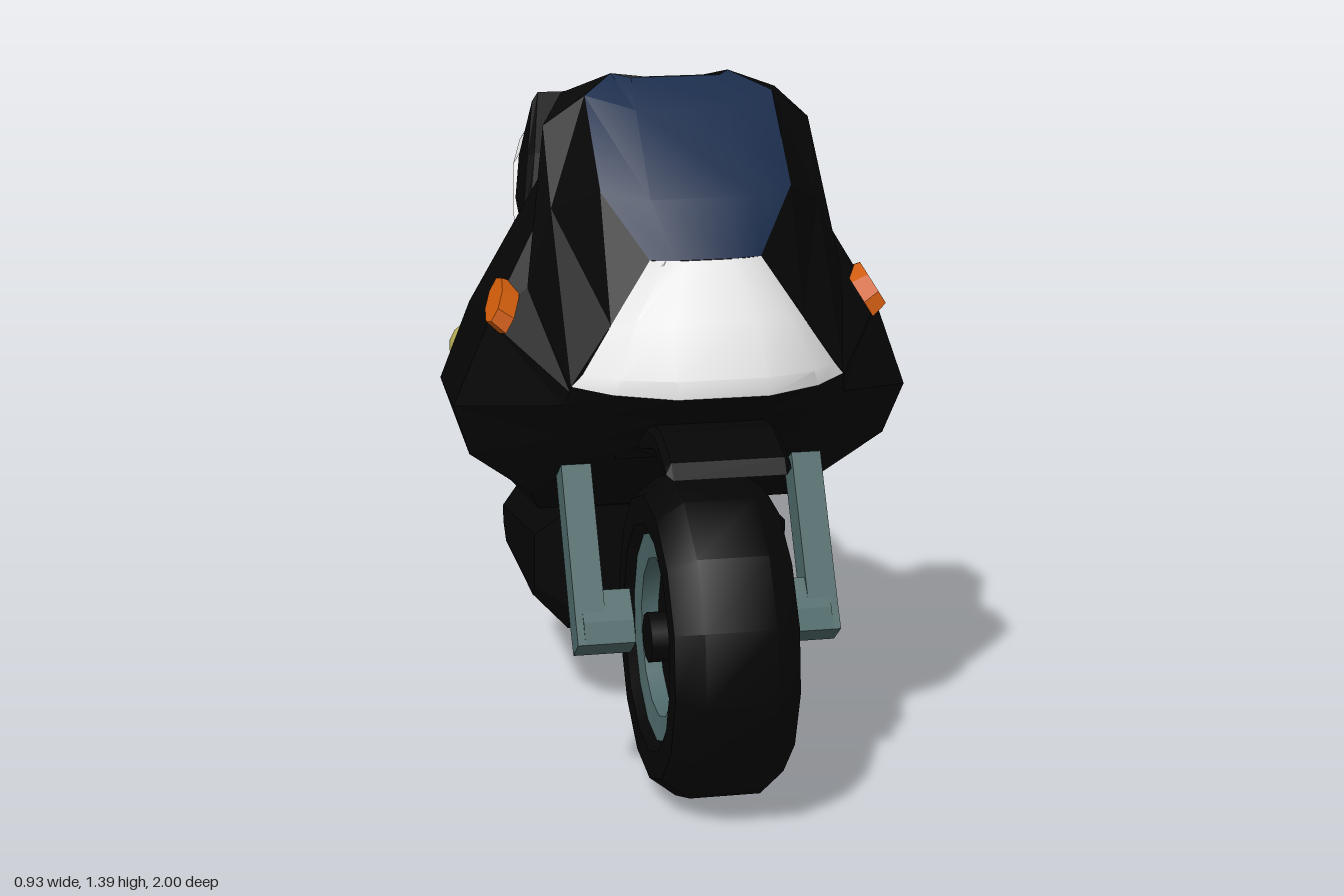
import * as THREE from 'three';
import { toCreasedNormals } from 'three/addons/utils/BufferGeometryUtils.js';

const paint = (name, color) =>
  Object.assign(new THREE.MeshStandardMaterial({ color, side: THREE.DoubleSide }), { name });

export function createModel() {
  const black = paint('black', 0x050505), white = paint('white', 0xe6e6e6);
  const darkGrey = paint('dark grey', 0x3c3c3c), grey = paint('grey', 0x707070);
  const blue = paint('screen blue', 0x1c2e4d), teal = paint('teal', 0x4e696a);
  const yellow = paint('yellow', 0xb4aa55), orange = paint('orange', 0xcc5a0a);

  const model = new THREE.Group();
  model.name = 'motorcycle';

  const add = (name, geo, mat, parent = model) => {
    const m = new THREE.Mesh(geo, mat);
    m.name = name;
    parent.add(m);
    return m;
  };
  // Adds a group and its mirror image
  const pair = (name, build) => {
    const g = new THREE.Group();
    g.name = name + 'Left';
    build(g);
    const r = g.clone();
    r.name = name + 'Right';
    r.scale.x = -1;
    model.add(g, r);
  };
  // Surface through rows of equally many points
  const skin = (rows, crease = 0.01) => {
    const n = rows[0].length, idx = [];
    for (let i = 0; i < rows.length - 1; i++) {
      for (let j = 0; j < n - 1; j++) {
        const a = i * n + j, b = a + n;
        idx.push(a, b, a + 1, a + 1, b, b + 1);
      }
    }
    const geo = new THREE.BufferGeometry();
    geo.setAttribute('position', new THREE.Float32BufferAttribute(rows.flat(2), 3));
    geo.setIndex(idx);
    return toCreasedNormals(geo, crease);
  };
  // Completes a half row (centre outwards) with its mirror image
  const sym = (row) => [
    ...row.filter((p) => p[0] > 0).reverse().map(([x, y, z]) => [-x, y, z]), ...row];
  // Side outline in (z, y) extruded across x
  const slab = (pts, half, bevel = 0, x = 0) => {
    const shape = new THREE.Shape(pts.map((p) => new THREE.Vector2(...p)));
    const geo = new THREE.ExtrudeGeometry(shape, {
      depth: 2 * (half - bevel), bevelEnabled: bevel > 0, bevelThickness: bevel,
      bevelSize: bevel, bevelOffset: -bevel, bevelSegments: 1 });
    return geo.translate(0, 0, bevel - half).rotateY(-Math.PI / 2).translate(x, 0, 0);
  };
  const lathe = (pts, n, crease = 0.7) =>
    toCreasedNormals(new THREE.LatheGeometry(pts.map((p) => new THREE.Vector2(...p)), n), crease);

  // Wheels
  for (const [name, z] of [['frontWheel', 0.678], ['rearWheel', -0.678]]) {
    const w = new THREE.Group();
    w.name = name;
    w.position.set(0, 0.325, z);
    w.rotation.set(0.11, 0, Math.PI / 2);
    add('tyre', lathe([[0.2, -0.095], [0.23, -0.122], [0.285, -0.122], [0.325, -0.07],
      [0.325, 0.07], [0.285, 0.122], [0.23, 0.122], [0.2, 0.095]], 14), black, w);
    add('rim', lathe([[0.16, -0.06], [0.16, -0.1], [0.21, -0.105], [0.21, 0.105],
      [0.16, 0.1], [0.16, 0.06]], 14), teal, w);
    add('hub', new THREE.CylinderGeometry(0.165, 0.165, 0.13, 14), black, w);
    add('axle', new THREE.CylinderGeometry(0.05, 0.05, 0.24, 10), black, w);
    model.add(w);
  }

  // Side fairing, rows from the screen edge down, points from front to back
  const fairing = [
    [[0.11, 1.08, 0.65], [0.19, 1.2, 0.56], [0.19, 1.36, 0.39], [0.12, 1.388, 0.3]],
    [[0.19, 0.96, 0.67], [0.27, 1.15, 0.46], [0.27, 1.3, 0.37], [0.22, 1.35, 0.29]],
    [[0.27, 0.845, 0.68], [0.32, 0.995, 0.47], [0.28, 1.13, 0.4], [0.265, 1.205, 0.34]],
    [[0.27, 0.83, 0.67], [0.395, 0.93, 0.46], [0.405, 0.92, 0.25], [0.28, 1.1, 0.24]],
    [[0.28, 0.8, 0.65], [0.465, 0.75, 0.43], [0.46, 0.75, 0.2], [0.335, 0.74, -0.05]],
    [[0.27, 0.72, 0.6], [0.43, 0.64, 0.4], [0.41, 0.62, 0.16], [0.28, 0.57, -0.12]],
    [[0.22, 0.66, 0.55], [0.3, 0.54, 0.36], [0.27, 0.48, 0.28], [0.26, 0.53, -0.02]],
  ];
  pair('fairing', (g) => add('sidePanel', skin(fairing), black, g));

  // Nose, fairing underside and windscreen
  add('nose', skin([
    [[0.04, 1.08, 0.665], [0.08, 1.08, 0.66], [0.11, 1.08, 0.65]],
    [[0.08, 0.98, 0.745], [0.15, 0.97, 0.71], [0.19, 0.96, 0.67]],
    [[0.09, 0.88, 0.815], [0.19, 0.875, 0.765], [0.25, 0.87, 0.69]],
    [[0.09, 0.845, 0.818], [0.2, 0.845, 0.76], [0.27, 0.845, 0.68]],
  ].map(sym), 0.6), white);
  add('fairingUnderside', skin([
    [[0.09, 0.845, 0.818], [0.2, 0.845, 0.76], [0.27, 0.845, 0.68]],
    [[0.09, 0.78, 0.72], [0.2, 0.79, 0.7], [0.28, 0.8, 0.65]],
    [[0.09, 0.71, 0.61], [0.2, 0.715, 0.61], [0.27, 0.72, 0.6]],
    [[0.09, 0.66, 0.55], [0.2, 0.66, 0.55], [0.22, 0.66, 0.55]],
    [[0.09, 0.54, 0.36], [0.2, 0.54, 0.36], [0.3, 0.54, 0.36]],
    [[0.09, 0.48, 0.28], [0.2, 0.48, 0.28], [0.27, 0.48, 0.28]],
  ].map(sym)), black);
  add('windscreen', skin([
    [[0.06, 1.08, 0.662], [0.11, 1.08, 0.65]],
    [[0.1, 1.19, 0.61], [0.19, 1.2, 0.56]],
    [[0.1, 1.34, 0.46], [0.19, 1.36, 0.39]],
    [[0.09, 1.388, 0.36], [0.12, 1.388, 0.3]],
  ].map(sym), 0.6), blue);

  // Cockpit behind the screen
  add('screenBack', skin([
    [[0.06, 1.386, 0.34], [0.12, 1.388, 0.3]],
    [[0.1, 1.33, 0.36], [0.22, 1.35, 0.29]],
    [[0.12, 1.2, 0.38], [0.265, 1.205, 0.34]],
  ].map(sym)), black);
  add('dash', skin([
    [[0.12, 1.2, 0.38], [0.265, 1.205, 0.34]],
    [[0.16, 1.06, 0.25], [0.28, 1.09, 0.235]],
  ].map(sym)), darkGrey);

  // Tank and body sides: z, then half profile from the top centre down
  const tank = [
    [0.28, [0, 1.1], [0.1, 1.08], [0.17, 1.0], [0.2, 0.75], [0.2, 0.6]],
    [0.21, [0, 1.125], [0.15, 1.1], [0.25, 1.0], [0.27, 0.8], [0.26, 0.6]],
    [0.1, [0, 1.1], [0.17, 1.07], [0.265, 0.96], [0.28, 0.78], [0.26, 0.6]],
    [-0.02, [0, 1.055], [0.17, 1.03], [0.27, 0.9], [0.28, 0.74], [0.26, 0.59]],
    [-0.13, [0, 0.95], [0.17, 0.935], [0.26, 0.82], [0.265, 0.7], [0.24, 0.57]],
    [-0.26, [0, 0.81], [0.16, 0.81], [0.2, 0.77], [0.215, 0.68], [0.19, 0.57]],
    [-0.36, [0, 0.78], [0.15, 0.78], [0.185, 0.74], [0.195, 0.68], [0.17, 0.61]],
  ];
  const section = ([z, ...pts]) => sym(pts.map(([x, y]) => [x, y, z]));
  add('tank', skin(tank.map(section), 0.8), white);

  // Tail: z, top, bottom, half width
  const tail = [
    [-0.28, 0.75, 0.57, 0.2], [-0.36, 0.79, 0.61, 0.195], [-0.47, 0.89, 0.71, 0.19],
    [-0.6, 0.99, 0.835, 0.18], [-0.67, 1.115, 0.885, 0.168], [-0.78, 1.125, 0.96, 0.135],
    [-0.85, 1.12, 1.01, 0.105], [-0.882, 1.085, 1.04, 0.06]];
  add('tail', skin(tail.map(([z, t, b, w]) => section(
    [z, [0, t], [w * 0.65, t], [w, t * 0.6 + b * 0.4], [w * 0.85, b], [0, b]])), 0.6), white);
  add('tailEnd', skin([[[0.039, 1.085, -0.882], [0.06, 1.067, -0.882]],
    [[0.03, 1.04, -0.882], [0.051, 1.04, -0.882]]].map(sym)), white);
  add('tailInset', skin(tail.slice(0, -1).map(([z, , b, w]) =>
    sym([[0, b - 0.005, z], [w * 0.62, b - 0.005, z]]))), black);

  // Seat, its raised back narrowing upwards
  const seat = slab([[-0.13, 0.945], [-0.45, 0.93], [-0.54, 1.07], [-0.66, 1.19],
    [-0.665, 1.04], [-0.58, 0.95], [-0.42, 0.86], [-0.35, 0.8], [-0.26, 0.815]], 0.182, 0.015);
  const pos = seat.attributes.position;
  for (let i = 0; i < pos.count; i++) {
    pos.setX(i, pos.getX(i) * (1 - 1.4 * Math.max(0, pos.getY(i) - 0.95)));
  }
  seat.computeVertexNormals();
  add('seat', seat, black);

  // Inner frame, belly and white wedges
  add('frame', slab([[0.34, 1.02], [0.36, 0.62], [0.27, 0.48], [-0.28, 0.42],
    [-0.29, 0.57], [0.0, 0.9]], 0.18), black);
  add('steeringHead', slab([[0.62, 0.82], [0.56, 0.66], [0.34, 0.66], [0.34, 0.9]], 0.16), black);
  add('belly', slab([[0.285, 0.48], [0.29, 0.26], [0.22, 0.193], [-0.2, 0.198],
    [-0.28, 0.27], [-0.285, 0.4]], 0.27, 0.07), black);
  pair('bellyWedge', (g) => add('wedge', slab([[0.27, 0.485], [-0.12, 0.57], [-0.29, 0.575],
    [-0.285, 0.385]], 0.02, 0, 0.215), white, g));

  // Mudguards
  add('frontMudguard', slab([[0.88, 0.705], [0.86, 0.735], [0.76, 0.768], [0.66, 0.76],
    [0.5, 0.71], [0.5, 0.66], [0.64, 0.69], [0.75, 0.72]], 0.122, 0.012), black);
  add('rearMudguard', slab([[-0.28, 0.66], [-0.42, 0.75], [-0.58, 0.805], [-0.72, 0.795],
    [-0.87, 0.755], [-0.885, 0.72], [-0.74, 0.705], [-0.6, 0.72], [-0.42, 0.67], [-0.3, 0.6]],
    0.12, 0.015), black);

  // Fork legs and swing arm
  pair('fork', (g) => {
    add('forkLeg', slab([[0.53, 0.645], [0.47, 0.605], [0.62, 0.345], [0.66, 0.29],
      [0.715, 0.33], [0.69, 0.37]], 0.03, 0, 0.235), teal, g);
    add('forkFoot', slab([[0.65, 0.42], [0.605, 0.37], [0.66, 0.29], [0.715, 0.33],
      [0.695, 0.37]], 0.05, 0, 0.2), teal, g);
  });
  pair('swingArm', (g) => add('arm', slab([[-0.27, 0.475], [-0.74, 0.39], [-0.735, 0.29],
    [-0.68, 0.295], [-0.27, 0.385]], 0.03, 0, 0.15), teal, g));

  // Exhausts: lathed along the pipe axis
  pair('exhaust', (g) => {
    const e = new THREE.Group();
    e.name = 'silencer';
    e.position.set(0.25, 0.515, -0.395);
    e.rotation.x = -Math.PI / 2 + 0.14;
    add('can', lathe([[0.04, 0], [0.06, 0.005], [0.074, 0.04], [0.074, 0.285],
      [0.055, 0.33]], 14), grey, e);
    add('band', lathe([[0.073, 0.15], [0.077, 0.15], [0.077, 0.185], [0.073, 0.185]], 14),
      yellow, e);
    add('tip', lathe([[0.05, 0.325], [0.058, 0.33], [0.058, 0.36], [0.06, 0.365], [0.06, 0.388],
      [0.036, 0.388], [0.032, 0.345], [0, 0.345]], 14), yellow, e);
    g.add(e);
    const path = new THREE.CatmullRomCurve3([[0.24, 0.49, -0.235], [0.25, 0.5, -0.3],
      [0.25, 0.52, -0.41]].map((p) => new THREE.Vector3(...p)));
    add('pipe', new THREE.TubeGeometry(path, 6, 0.042, 10), darkGrey, g);
    add('pipeEnd', new THREE.SphereGeometry(0.042, 10, 6), darkGrey, g)
      .position.set(0.24, 0.49, -0.235);
  });

  // Turn signals set into the fairing
  pair('turnSignal', (g) => {
    const along = new THREE.Vector3(-0.03, 0.07, -0.12).normalize();
    const out = new THREE.Vector3(0.8, 0.5, 0.09).normalize();
    const cross = new THREE.Vector3().crossVectors(along, out);
    const geo = new THREE.CylinderGeometry(0.85, 1, 1, 8).scale(0.074, 0.036, 0.036);
    geo.applyMatrix4(new THREE.Matrix4().makeBasis(along, out, cross));
    add('lens', toCreasedNormals(geo, 0.01), orange, g).position.set(0.371, 0.963, 0.462);
  });

  return model;
}
